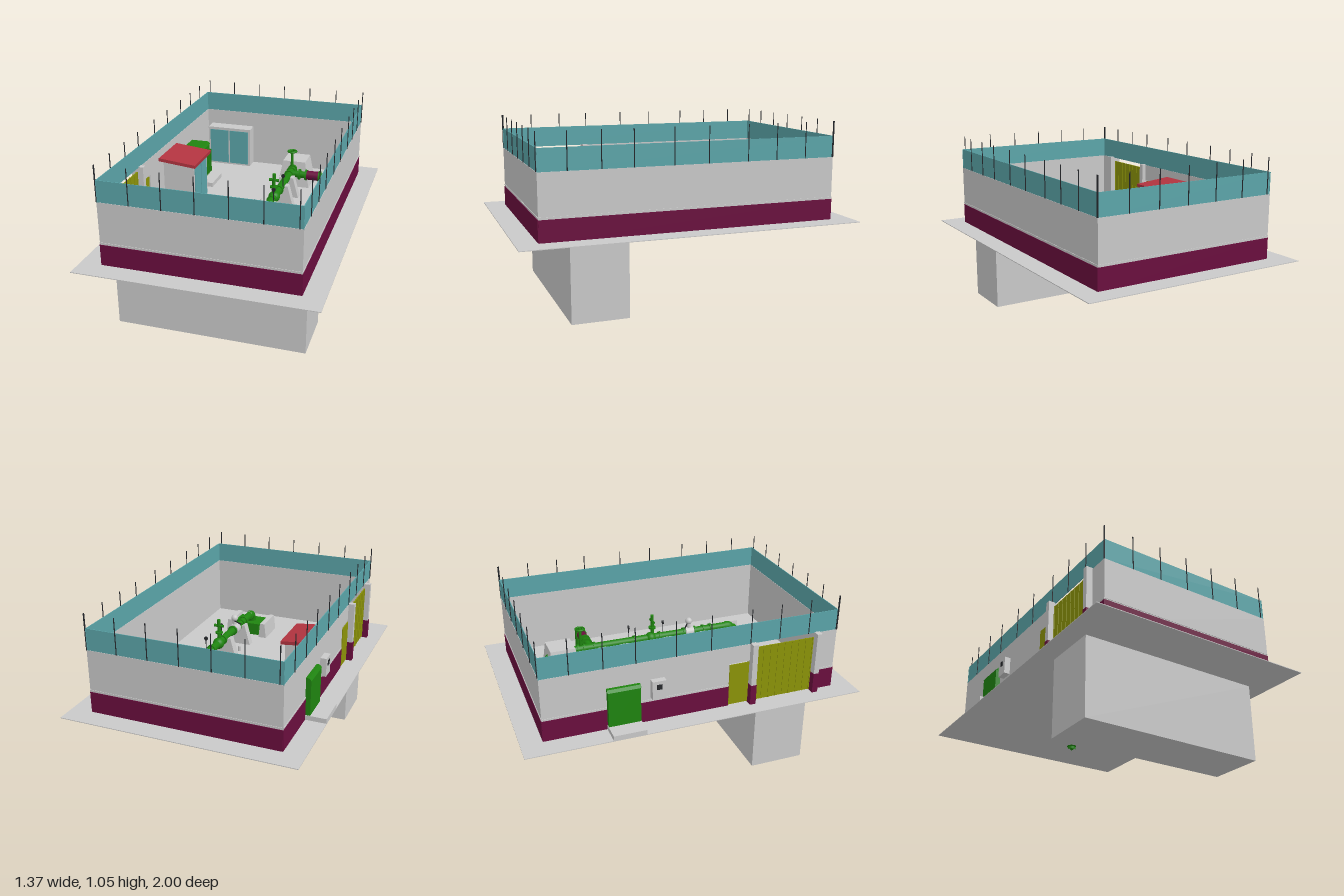
import * as THREE from 'three';

const colour = (name, hex) => {
  const m = new THREE.MeshStandardMaterial({ color: hex });
  m.name = name;
  return m;
};

export function createModel() {
  const grey = colour('concrete grey', 0xc9c9c9);
  const maroon = colour('maroon', 0x6a0e3e);
  const teal = colour('teal', 0x5ba5a9);
  const green = colour('pipe green', 0x1f8410);
  const red = colour('roof red', 0xb23440);
  const olive = colour('gate olive', 0x8c9408);
  const dark = colour('dark metal', 0x26282c);

  const model = new THREE.Group();
  const G = 0.467; // ground level
  const add = (name, geo, mat, parent = model) => {
    const m = new THREE.Mesh(geo, mat);
    m.name = name;
    parent.add(m);
    return m;
  };
  const group = (name) => {
    const g = new THREE.Group();
    g.name = name;
    model.add(g);
    return g;
  };
  // box from its limits; the top can be tapered towards its centre
  const box = (name, mat, [x0, x1], [y0, y1], [z0, z1], parent, tx = 1, tz = 1) => {
    const g = new THREE.BoxGeometry(x1 - x0, y1 - y0, z1 - z0);
    const p = g.attributes.position;
    for (let i = 0; i < p.count; i++) {
      if (p.getY(i) > 0) { p.setX(i, p.getX(i) * tx); p.setZ(i, p.getZ(i) * tz); }
    }
    g.computeVertexNormals();
    const m = add(name, g, mat, parent);
    m.position.set((x0 + x1) / 2, (y0 + y1) / 2, (z0 + z1) / 2);
    return m;
  };
  // straight round bar between two points
  const bar = (name, mat, a, b, r, parent, sides = 20) => {
    const A = new THREE.Vector3(...a), B = new THREE.Vector3(...b);
    const m = add(name, new THREE.CylinderGeometry(r, r, A.distanceTo(B), sides), mat, parent);
    m.position.copy(A).add(B).multiplyScalar(0.5);
    m.quaternion.setFromUnitVectors(new THREE.Vector3(0, 1, 0), B.sub(A).normalize());
    return m;
  };
  const bend = (name, mat, pts, r, parent) => {
    const c = new THREE.CatmullRomCurve3(pts.map((p) => new THREE.Vector3(...p)));
    return add(name, new THREE.TubeGeometry(c, 16, r, 16), mat, parent);
  };

  // ground slab and underground chamber
  box('ground', grey, [-0.685, 0.685], [0.463, G], [-1, 1]);
  box('undergroundChamber', grey, [-0.567, 0.556], [0, 0.463], [0.38, 0.71]);

  // perimeter walls: grey core, maroon outer band, narrow ledge
  const walls = group('perimeterWalls');
  const X = 0.56, Z = 0.875, T = 0.008, TOP = 0.84, BAND = 0.59;
  for (const s of [-1, 1]) {
    const zr = s > 0 ? [Z - T, Z] : [-Z, -Z + T];
    const zo = s > 0 ? [Z, Z + 0.003] : [-Z - 0.003, -Z];
    box('endWall', grey, [-X, X], [G, TOP], zr, walls);
    box('endWallBand', maroon, [-X, X], [G, BAND], zo, walls);
    box('endWallLedge', grey, [-X, X], [0.597, 0.604], zo, walls);
  }
  const sideWall = (s, z0, z1, y0 = G) => {
    const span = (a, b) => (s > 0 ? [a, b] : [-b, -a]);
    box('sideWall', grey, span(X - T, X), [y0, TOP], [z0, z1], walls);
    if (y0 > G) return;
    box('sideWallBand', maroon, span(X, X + 0.003), [G, BAND], [z0, z1], walls);
    box('sideWallLedge', grey, span(X, X + 0.003), [0.597, 0.604], [z0, z1], walls);
  };
  sideWall(1, -Z, Z);
  sideWall(-1, -Z, 0.2);
  sideWall(-1, 0.2, 0.325, 0.735);
  sideWall(-1, 0.76, Z);

  // gate pillars, wide gate and small side gate
  const gate = group('gate');
  for (const z of [0.34, 0.745]) {
    box('gatePillar', grey, [-0.598, -0.525], [BAND, 0.845], [z - 0.016, z + 0.016], gate);
    box('gatePillarBase', maroon, [-0.6, -0.523], [G, BAND], [z - 0.018, z + 0.018], gate);
  }
  box('wideGate', olive, [-0.565, -0.56], [G + 0.008, 0.815], [0.36, 0.725], gate);
  box('sideGate', olive, [-0.565, -0.56], [G + 0.008, 0.73], [0.2, 0.32], gate);
  for (let i = 0; i <= 8; i++) {
    const z = 0.364 + i * 0.0445;
    box('gateRail', olive, [-0.568, -0.557], [G + 0.008, 0.815], [z - 0.003, z + 0.003], gate);
  }

  // screen fence on top of the wall and its posts
  const fence = group('fence');
  const F = [TOP, 0.965];
  for (const s of [-1, 1]) {
    box('endScreen', teal, [-X, X], F, [s * (Z - 0.004) - 0.002, s * (Z - 0.004) + 0.002], fence);
    box('sideScreen', teal, [s * (X - 0.004) - 0.002, s * (X - 0.004) + 0.002], F, [-Z, Z], fence);
    for (let i = 0; i < 7; i++) {
      const x = s * (-0.56 + i * 0.183);
      bar('post', dark, [x, TOP, s * Z], [x, 1.05, s * Z], 0.0028, fence, 6);
    }
    for (const z of [0.715, 0.53, 0.35, 0.12, -0.085, -0.325, -0.505, -0.69, -0.87]) {
      bar('post', dark, [s * X, TOP, s * z], [s * X, 1.05, s * z], 0.0028, fence, 6);
    }
  }

  // glazed cabinet by the rear wall
  const cabinet = group('cabinet');
  box('cabinetBody', grey, [-0.52, -0.21], [G, 0.74], [-0.866, -0.775], cabinet);
  for (const x of [-0.505, -0.36]) {
    box('cabinetPane', teal, [x, x + 0.135], [G + 0.012, 0.722], [-0.775, -0.771], cabinet);
  }

  // guard booth with sloping red roof
  const booth = group('booth');
  box('boothBody', grey, [-0.53, -0.33], [G, 0.765], [-0.2, 0.04], booth);
  const roof = box('boothRoof', red, [-0.55, -0.31], [0.765, 0.785], [-0.225, 0.07], booth);
  roof.rotation.z = -0.1;
  for (const z of [-0.185, -0.075]) {
    box('boothPane', teal, [-0.33, -0.326], [G + 0.02, 0.735], [z, z + 0.1], booth);
  }

  // green transformer set through the wall on a plinth
  const transformer = group('transformer');
  box('plinth', grey, [-0.685, -0.34], [G, 0.495], [-0.52, -0.33], transformer);
  box('transformerBody', green, [-0.59, -0.425], [0.495, 0.705], [-0.517, -0.333], transformer);
  box('transformerLid', green, [-0.592, -0.42], [0.705, 0.72], [-0.52, -0.33], transformer, 0.85, 1);
  for (let i = 0; i < 8; i++) {
    const z = -0.485 + i * 0.0175;
    box('coolingFin', green, [-0.425, -0.4], [0.52, 0.68], [z - 0.003, z + 0.003], transformer);
  }

  // meter box on the outside of the wall
  box('meterBox', grey, [-0.6, -0.563], [0.62, 0.73], [-0.27, -0.19]);
  box('meterWindow', dark, [-0.603, -0.6], [0.68, 0.71], [-0.245, -0.215]);

  // main pipe line
  const pipe = group('pipeline');
  const PX = 0.175, PY = 0.595, R = 0.024;
  bar('mainPipe', green, [PX, PY, -0.55], [PX, PY, 0.51], R, pipe);
  bend('pumpElbow', green, [[PX, PY, 0.5], [PX, PY - 0.005, 0.535], [PX, PY - 0.03, 0.55], [PX, 0.53, 0.553]], 0.03, pipe);
  for (const z of [-0.49, -0.45, -0.385, -0.12, 0.05, 0.215, 0.29, 0.35, 0.4]) {
    bar('flange', green, [PX, PY, z - 0.006], [PX, PY, z + 0.006], 0.031, pipe);
  }
  // branch with maroon valve
  bar('branchPipe', green, [PX, PY, -0.415], [0.42, PY, -0.415], 0.022, pipe);
  bar('branchValve', maroon, [0.29, PY, -0.415], [0.37, PY, -0.415], 0.03, pipe);
  for (const x of [0.24, 0.285, 0.375]) {
    bar('branchFlange', green, [x - 0.006, PY, -0.415], [x + 0.006, PY, -0.415], 0.035, pipe);
  }
  bend('branchElbow', green, [[0.41, PY, -0.415], [0.435, PY - 0.006, -0.415], [0.445, PY - 0.03, -0.415], [0.445, G, -0.415]], 0.024, pipe);

  // valve with hand wheel
  bar('valveStem', green, [PX, PY, -0.47], [PX, 0.73, -0.47], 0.009, pipe, 10);
  const wheel = add('handWheel', new THREE.TorusGeometry(0.027, 0.006, 8, 24), green, pipe);
  wheel.position.set(PX, 0.73, -0.47);
  wheel.rotation.x = Math.PI / 2;
  bar('wheelSpoke', green, [PX - 0.027, 0.73, -0.47], [PX + 0.027, 0.73, -0.47], 0.004, pipe, 8);

  // air valve with side arms
  add('valveBody', new THREE.SphereGeometry(0.036, 20, 14), green, pipe).position.set(PX, PY, -0.01);
  bar('airValveStem', green, [PX, PY, 0.0], [PX, 0.75, 0.0], 0.011, pipe, 12);
  bar('airValveArm', green, [PX - 0.03, 0.71, 0], [PX + 0.03, 0.71, 0], 0.009, pipe, 12);
  bar('airValveFlange', green, [PX, 0.66, 0], [PX, 0.67, 0], 0.023, pipe);

  // grey meter and small gauges
  bar('flowMeter', grey, [PX, PY, 0.225], [PX, PY, 0.28], 0.034, pipe);
  bar('meterNeck', grey, [PX, PY, 0.25], [PX, 0.66, 0.25], 0.013, pipe);
  add('meterHead', new THREE.SphereGeometry(0.022, 16, 12), grey, pipe).position.set(PX, 0.67, 0.25);
  bar('meterLever', dark, [0.11, 0.655, 0.2], [PX, 0.655, 0.24], 0.004, pipe, 8);
  bar('drainPin', grey, [0.12, 0.41, 0.2], [0.12, 0.5, 0.2], 0.01, pipe, 12);
  bar('drainTip', dark, [0.12, 0.385, 0.2], [0.12, 0.41, 0.2], 0.004, pipe, 8);
  for (const z of [-0.15, 0.08]) {
    bar('gaugeStem', dark, [PX + 0.02, PY, z], [PX + 0.02, 0.67, z], 0.003, pipe, 8);
    bar('gaugeDial', dark, [PX + 0.02, 0.68, z - 0.004], [PX + 0.02, 0.68, z + 0.004], 0.012, pipe);
  }

  // cradles under the pipe, with open footings below the ground
  const cradle = new THREE.Shape();
  cradle.moveTo(-0.082, 0);
  cradle.lineTo(0.082, 0);
  cradle.lineTo(0.045, 0.135);
  cradle.lineTo(R, 0.135);
  cradle.absarc(0, PY - G, R, 0, Math.PI, true);
  cradle.lineTo(-0.045, 0.135);
  for (const z of [-0.34, -0.195, 0.095, 0.335]) {
    const g = new THREE.ExtrudeGeometry(cradle, { depth: 0.05, bevelEnabled: false });
    add('pipeCradle', g, grey, pipe).position.set(PX, G, z - 0.025);
    for (const s of [-1, 1]) {
      box('footingSide', grey, [PX - 0.082, PX + 0.082], [0.438, 0.463], [z + s * 0.021 - 0.006, z + s * 0.021 + 0.006], pipe);
      box('footingEnd', grey, [PX + s * 0.075 - 0.007, PX + s * 0.075 + 0.007], [0.438, 0.463], [z - 0.025, z + 0.025], pipe);
    }
  }

  // pump base between two sloped blocks
  const pump = group('pump');
  box('pumpBase', green, [0.1, 0.265], [G, 0.535], [0.49, 0.62], pump);
  box('pumpPlate', green, [0.09, 0.275], [0.535, 0.548], [0.485, 0.625], pump);
  for (const x of [0.035, 0.27]) {
    box('pumpBlock', grey, [x, x + 0.053], [G, 0.565], [0.46, 0.65], pump, 0.6, 1);
  }

  // anchor block with the outlet pipe leaving through the ground
  box('anchorBlock', grey, [0.07, 0.285], [G, 0.64], [-0.695, -0.5], pump, 0.7, 0.8);
  bend('outletPipe', green, [[PX, 0.59, -0.62], [PX, 0.57, -0.67], [PX, 0.51, -0.682], [PX, 0.44, -0.684]], 0.026, pump);
  const outlet = add('outletEnd', new THREE.ConeGeometry(0.034, 0.035, 16), green, pump);
  outlet.position.set(PX, 0.447, -0.684);
  outlet.rotation.x = Math.PI;

  return model;
}
